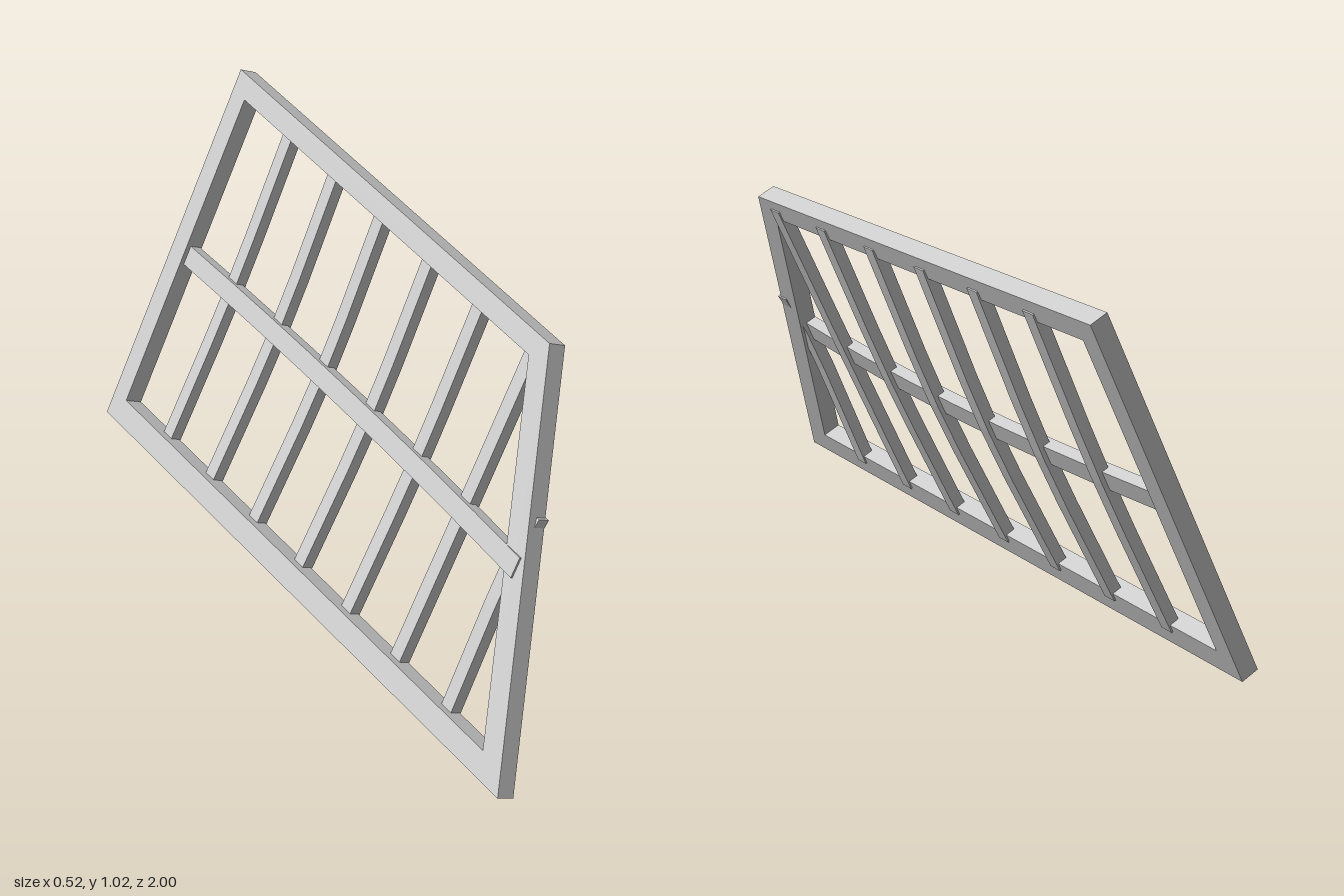
import * as THREE from 'three';

const V = (x, y, z) => new THREE.Vector3(x, y, z);
const N = V(0.9, -0.43, 0).normalize(); // towards the underside
const U = V(0.43, 0.9, 0).normalize(); // up the slope
const Z = V(0, 0, 1);
const THICK = 0.052;

// Joins four-cornered sections into a solid; a closed one forms a ring
function loft(name, sections, closed, material) {
  const pos = [];
  const quad = (a, b, c, d) => [a, b, c, a, c, d].forEach((p) => pos.push(p.x, p.y, p.z));
  const n = sections.length;
  for (let i = 0; i < (closed ? n : n - 1); i++) {
    const s = sections[i], t = sections[(i + 1) % n];
    for (let j = 0; j < 4; j++) quad(s[j], s[(j + 1) % 4], t[(j + 1) % 4], t[j]);
  }
  if (!closed) {
    const [a, b, c, d] = sections[0];
    quad(d, c, b, a);
    quad(...sections[n - 1]);
  }
  const geo = new THREE.BufferGeometry();
  geo.setAttribute('position', new THREE.Float32BufferAttribute(pos, 3));
  geo.computeVertexNormals();
  const mesh = new THREE.Mesh(geo, material);
  mesh.name = name;
  return mesh;
}

// Rectangle around c, spanning w along e1 and h along e2
const rect = (c, e1, w, e2, h) =>
  [[-1, -1], [1, -1], [1, 1], [-1, 1]].map(([a, b]) =>
    c.clone().addScaledVector(e1, (a * w) / 2).addScaledVector(e2, (b * h) / 2));

// Points on the sloping upper and lower faces of the frame
const upper = (y, z) => V(-0.277 + 0.478 * y + 0.0115 * (z + 1), y, z);
const under = (y, z) => upper(y, z).addScaledVector(N, THICK);

export function createModel() {
  const group = new THREE.Group();
  group.name = 'slopingWindowFrame';
  const mat = new THREE.MeshStandardMaterial({ color: 0xcccccc, flatShading: true });

  // Outer frame: four mitred rails, outer (y, z) then inner (y, z)
  const corners = [
    [0.025, -1, 0.092, -0.935],
    [0.06, 1, 0.12, 0.89],
    [0.98, 0.53, 0.927, 0.48],
    [1.02, -1, 0.962, -0.935],
  ];
  group.add(loft('frame', corners.map(([y, z, iy, iz]) =>
    [upper(y, z), under(y, z), under(iy, iz), upper(iy, iz)]), true, mat));

  // Middle beam, bowed towards the underside
  const beamT = 0.033;
  const beamAt = (z) => V(-0.016, 0.517, z)
    .addScaledVector(N, beamT / 2 + 0.027 * (1 - ((z + 0.11) / 0.85) ** 2));
  const beam = [];
  for (let i = 0; i <= 8; i++) beam.push(rect(beamAt(-0.96 + (1.7 * i) / 8), N, beamT, U, 0.058));
  group.add(loft('middleBeam', beam, false, mat));

  // Glazing bars running up the slope, crossing just below the beam
  const barT = 0.033;
  for (let i = 0; i < 7; i++) {
    const z = -0.73 + 0.238 * i;
    const end = (y) => under(y, z).addScaledVector(N, 0.004 - barT / 2);
    const top = i === 6 ? 0.63 : 0.965 - 0.02 * z;
    const path = new THREE.CatmullRomCurve3([
      end(0.085 + 0.014 * z),
      beamAt(z).addScaledVector(N, 0.012),
      end(top),
    ]);
    const sections = path.getPoints(6).map((p) => rect(p, Z, 0.043, N, barT));
    group.add(loft('glazingBar', sections, false, mat));
  }
  return group;
}
